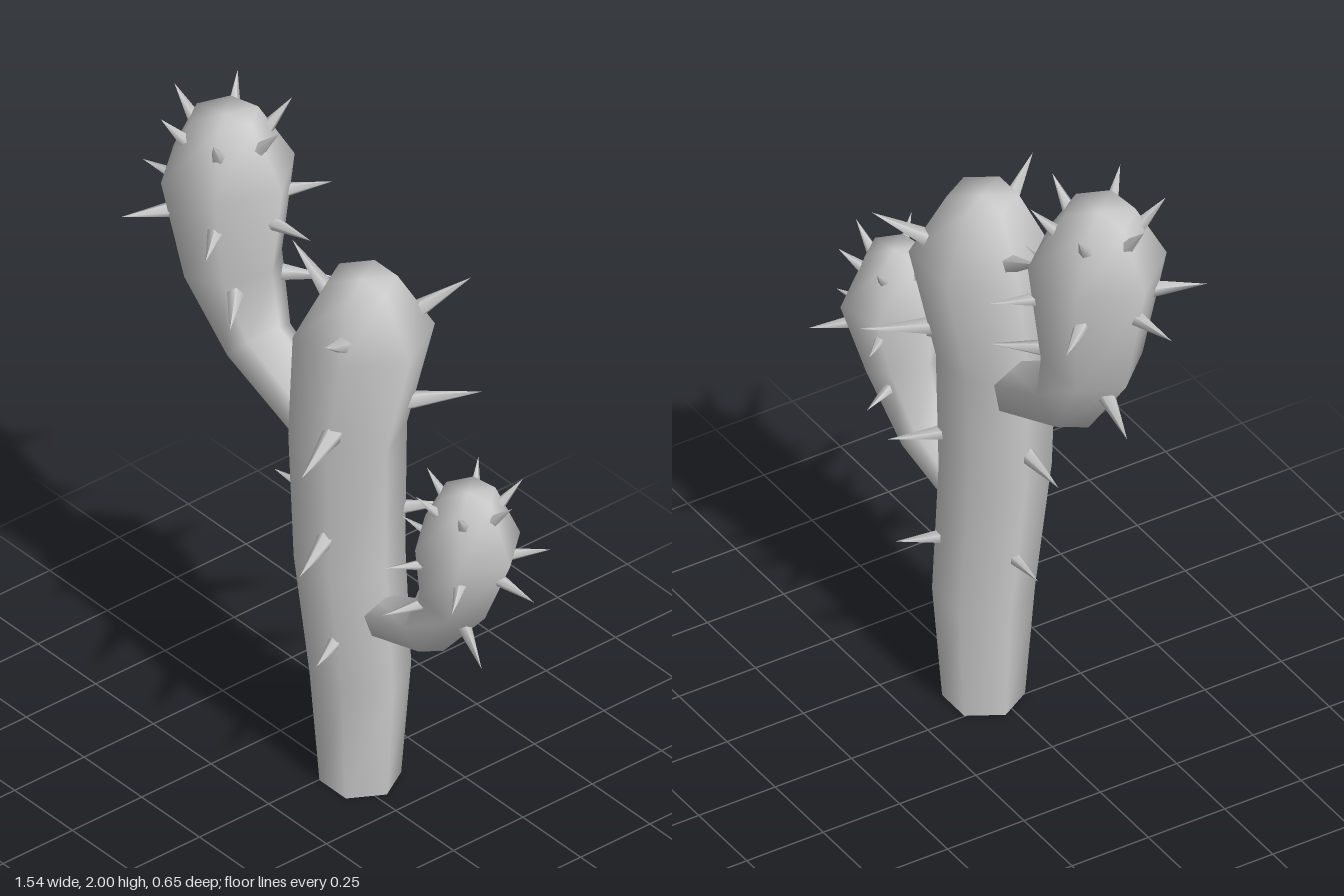
import * as THREE from 'three';

const SIDES = 6;
const material = new THREE.MeshStandardMaterial({ color: 0xcccccc });
const rad = THREE.MathUtils.degToRad;

// Six-sided stem through sections [x, y, z, radius]; smooth sides and top, flat base.
function stem(name, sections, turn, level) {
  const pos = [], index = [];
  const n = sections.length;
  const ring = (i) => {
    const [x, y, z, r] = sections[i];
    const dir = (a, b) => new THREE.Vector2(b[0] - a[0], b[1] - a[1]).normalize();
    const t = new THREE.Vector2();
    if (level) t.set(0, 1);
    else {
      if (i > 0) t.add(dir(sections[i - 1], sections[i]));
      if (i < n - 1) t.add(dir(sections[i], sections[i + 1]));
      t.normalize();
    }
    for (let j = 0; j < SIDES; j++) {
      const a = rad(turn) + (j / SIDES) * Math.PI * 2;
      const u = r * Math.cos(a);
      pos.push(x + u * t.y, y - u * t.x, z + r * Math.sin(a));
    }
  };
  for (let i = 0; i < n; i++) ring(i);
  const top = pos.length / 3;
  pos.push(...sections[n - 1].slice(0, 3));
  const base = top + 1;
  ring(0);
  pos.push(...sections[0].slice(0, 3));
  for (let j = 0; j < SIDES; j++) {
    const k = (j + 1) % SIDES;
    for (let i = 0; i < n - 1; i++) {
      const a = i * SIDES + j, b = i * SIDES + k;
      index.push(a, a + SIDES, b, b, a + SIDES, b + SIDES);
    }
    index.push(top, (n - 1) * SIDES + k, (n - 1) * SIDES + j);
    index.push(base + SIDES, base + j, base + k);
  }
  const geo = new THREE.BufferGeometry();
  geo.setAttribute('position', new THREE.Float32BufferAttribute(pos, 3));
  geo.setIndex(index);
  geo.computeVertexNormals();
  const mesh = new THREE.Mesh(geo, material);
  mesh.name = name;
  return mesh;
}

// One thorn from base to tip
function thorn(base, tip, width) {
  const d = tip.clone().sub(base);
  const len = d.length();
  const geo = new THREE.ConeGeometry(width, len, 5);
  geo.translate(0, len / 2, 0);
  const mesh = new THREE.Mesh(geo, material);
  mesh.name = 'thorn';
  mesh.position.copy(base);
  mesh.quaternion.setFromUnitVectors(new THREE.Vector3(0, 1, 0), d.normalize());
  return mesh;
}

// Thorns around a centre, from radius r0 to r1, rising by rise; tilt slopes the ring along x
function thornRing(group, [x, y, z], angles, r0, r1, rise, width, tilt = 0) {
  for (const deg of angles) {
    const c = Math.cos(rad(deg)), s = Math.sin(rad(deg));
    const at = (r, h) => new THREE.Vector3(x + r * c, y + h + tilt * r * c, z + r * s);
    group.add(thorn(at(r0, 0), at(r1, rise), width));
  }
}

export function createModel() {
  const model = new THREE.Group();
  model.name = 'cactus';

  // Stems
  model.add(stem('trunk', [
    [0.06, 0, -0.03, 0.115], [0.06, 0.37, -0.03, 0.143], [0.055, 0.78, 0.005, 0.157],
    [0.035, 1.18, -0.005, 0.167], [0.075, 1.52, -0.03, 0.2], [0.08, 1.7, -0.02, 0.1],
  ], 0, true));
  model.add(stem('rightArm', [
    [-0.06, 1.13, -0.005, 0.085], [-0.35, 1.27, -0.005, 0.1], [-0.455, 1.475, 0, 0.145],
    [-0.46, 1.8, 0.015, 0.197], [-0.475, 1.975, 0.015, 0.1],
  ], -10));
  model.add(stem('leftArm', [
    [0.18, 0.62, -0.01, 0.065], [0.38, 0.69, -0.01, 0.08], [0.495, 0.865, -0.015, 0.11],
    [0.537, 1.06, -0.02, 0.155], [0.54, 1.225, -0.02, 0.08],
  ], -10));

  // Trunk thorns
  const trunkThorns = new THREE.Group();
  trunkThorns.name = 'trunkThorns';
  const three = [180, 60, -60];
  thornRing(trunkThorns, [0.07, 1.555, -0.03], three, 0.13, 0.305, 0.105, 0.032);
  thornRing(trunkThorns, [0.06, 1.265, 0], [62, -62], 0.13, 0.37, 0, 0.032);
  thornRing(trunkThorns, [0.05, 0.905, 0.015], [180, 64, -64], 0.12, 0.31, -0.015, 0.028);
  thornRing(trunkThorns, [0.06, 0.55, -0.015], [180, 65, -65], 0.11, 0.26, -0.007, 0.024);

  // Arm thorns: crown, widest ring, inner pair and one on the outer bend
  const six = [170, 114, 51, -10, -67, -131];
  const rightThorns = new THREE.Group();
  rightThorns.name = 'rightArmThorns';
  thornRing(rightThorns, [-0.465, 1.91, 0.015], six, 0.115, 0.19, 0.09, 0.022);
  thornRing(rightThorns, [-0.465, 1.69, 0.015], six, 0.145, 0.305, 0, 0.026);
  thornRing(rightThorns, [-0.43, 1.465, 0], [45, -45], 0.12, 0.28, -0.01, 0.025);
  thornRing(rightThorns, [-0.44, 1.405, 0], [180], 0.07, 0.2, -0.105, 0.032);

  const leftThorns = new THREE.Group();
  leftThorns.name = 'leftArmThorns';
  thornRing(leftThorns, [0.545, 1.175, -0.02], six, 0.09, 0.155, 0.07, 0.017);
  thornRing(leftThorns, [0.54, 1.0, -0.02], six, 0.11, 0.24, 0, 0.02, -0.16);
  thornRing(leftThorns, [0.48, 0.84, -0.01], [112, -112], 0.08, 0.2, -0.015, 0.02);
  thornRing(leftThorns, [0.47, 0.79, -0.01], [0], 0.05, 0.14, -0.12, 0.025);

  model.add(trunkThorns, rightThorns, leftThorns);
  return model;
}
